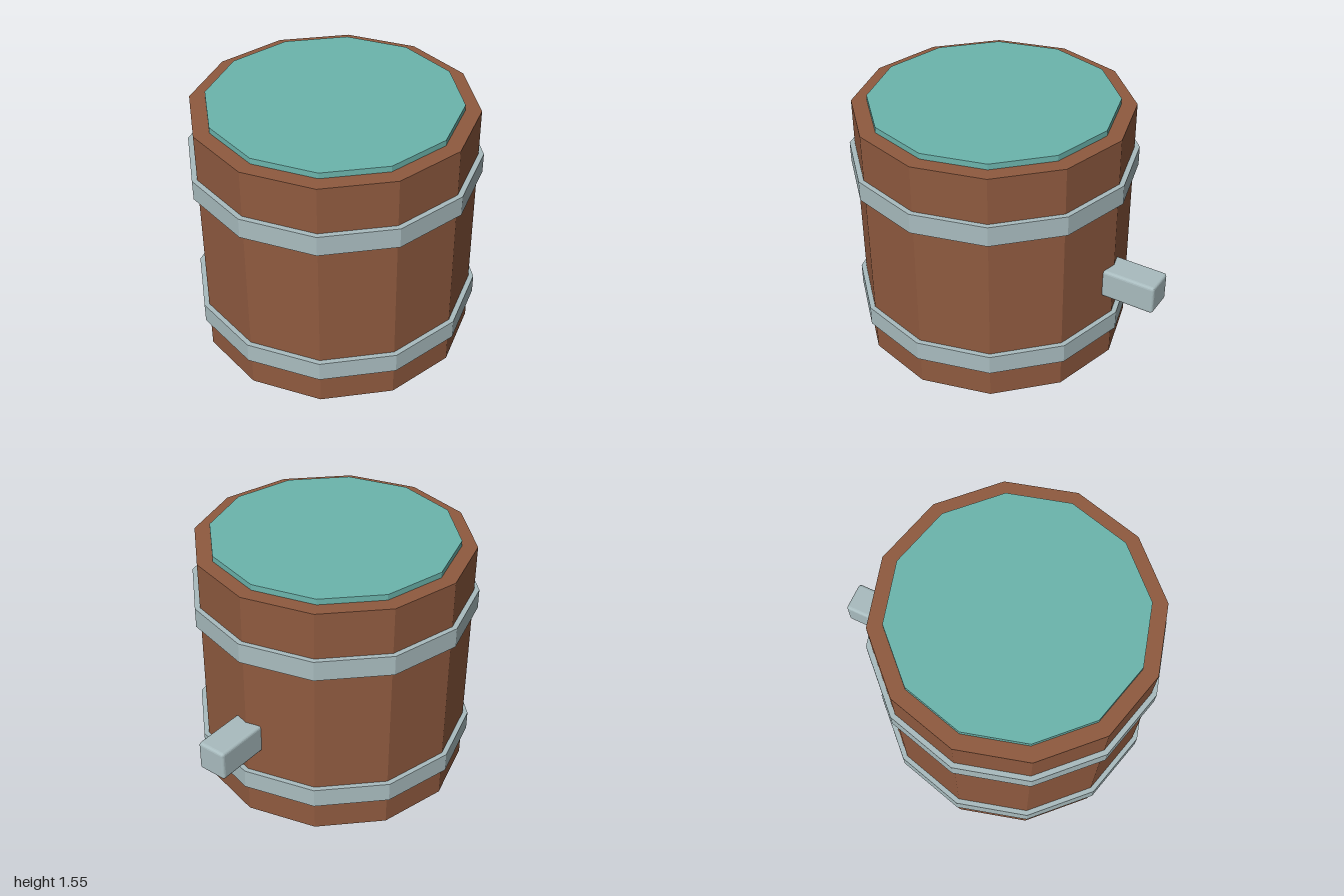
import * as THREE from 'three';
import { RoundedBoxGeometry } from 'three/addons/geometries/RoundedBoxGeometry.js';

const SIDES = 12;
const AXIS_X = -0.136; // barrel axis; the spout fills out the +x side

function material(name, color, flatShading = true) {
  const m = new THREE.MeshStandardMaterial({ color, flatShading });
  m.name = name;
  return m;
}

export function createModel() {
  const wood = material('wood', 0x8f5a3f);
  const metal = material('metal', 0xa9bcbf);
  const water = material('teal', 0x6cb5ad);

  const model = new THREE.Group();
  model.name = 'barrel';

  // Twelve-sided prism standing between two heights
  const addPrism = (name, radius, bottom, top, mat) => {
    const geometry = new THREE.CylinderGeometry(radius, radius, top - bottom, SIDES);
    const mesh = new THREE.Mesh(geometry, mat);
    mesh.name = name;
    mesh.position.set(AXIS_X, (bottom + top) / 2, 0);
    model.add(mesh);
  };

  addPrism('barrelBody', 0.833, 0, 1.515, wood);
  addPrism('topSurface', 0.74, 1.45, 1.55, water);

  // Metal hoops
  addPrism('lowerHoop', 0.864, 0.193, 0.315, metal);
  addPrism('upperHoop', 0.864, 1.107, 1.23, metal);

  // Softly bevelled spout sunk into the side
  const spout = new THREE.Mesh(new RoundedBoxGeometry(0.4, 0.185, 0.185, 2, 0.018), metal);
  spout.name = 'spout';
  spout.position.set(0.8, 0.572, 0);
  model.add(spout);

  return model;
}
